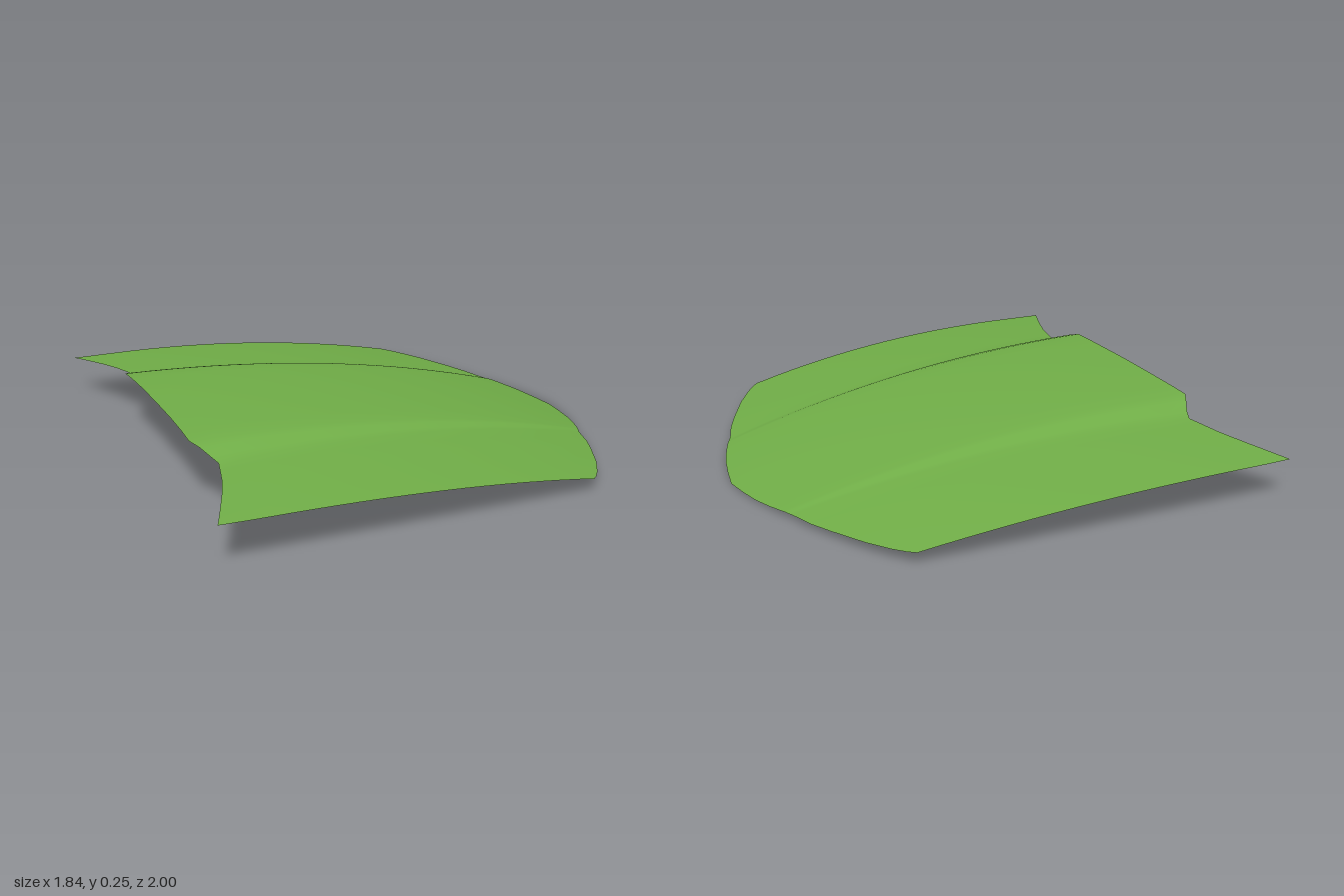
import * as THREE from 'three';

// Lengthwise lines of one half: [rear x, rear z, front x, front z, shoulder drop 0..1]
const LINES = [
  [-0.83, 0, 0.92, 0, 0],
  [-0.83, 0.1, 0.905, 0.1, 0],
  [-0.83, 0.2, 0.885, 0.2, 0],
  [-0.832, 0.33, 0.857, 0.29, 0],
  [-0.835, 0.43, 0.83, 0.36, 0.04],
  [-0.81, 0.475, 0.823, 0.373, 0.3],
  [-0.785, 0.52, 0.818, 0.385, 0.76],
  [-0.77, 0.56, 0.81, 0.4, 1],
  [-0.785, 0.62, 0.775, 0.51, 1],
  [-0.805, 0.7, 0.735, 0.6, 1],
  [-0.84, 0.8, 0.66, 0.75, 1],
  [-0.88, 0.9, 0.6, 0.845, 1],
  [-0.905, 0.96, 0.565, 0.89, 1],
  [-0.92, 0.995, 0.54, 0.915, 1],
];
const ROWS = 18;

// Height: lengthwise curve, crosswise crown and a raised centre that fades to the front
function height(x, z, drop) {
  const u = x + 0.83;
  const curve = 0.25 - 0.069 * u * u - 0.0072 * u * u * u;
  const crown = (0.047 + 0.004 * x) * z * z;
  const step = Math.min(0.045, 0.003 + 0.042 * (0.85 - x) / 1.65);
  return Math.max(0, curve - crown - step * drop);
}

export function createModel() {
  const mirrored = LINES.slice(1).reverse().map(([a, b, c, d, e]) => [a, -b, c, -d, e]);
  const lines = [...mirrored, ...LINES];
  const pos = [], index = [];
  lines.forEach(([xb, zb, xf, zf, drop], j) => {
    for (let i = 0; i <= ROWS; i++) {
      const t = i / ROWS;
      const x = xb + (xf - xb) * t;
      // outer lines bow outwards along the sides
      const bow = 0.034 * 4 * t * (1 - t) * Math.pow(Math.abs(zb), 4) * Math.sign(zb);
      const z = zb + (zf - zb) * t + bow;
      pos.push(x, height(x, z, drop), z);
      if (i < ROWS && j < lines.length - 1) {
        const a = j * (ROWS + 1) + i, b = a + ROWS + 1;
        index.push(a, b, a + 1, b, b + 1, a + 1);
      }
    }
  });
  const geo = new THREE.BufferGeometry();
  geo.setAttribute('position', new THREE.Float32BufferAttribute(pos, 3));
  geo.setIndex(index);
  geo.computeVertexNormals();

  const panel = new THREE.Mesh(geo, new THREE.MeshStandardMaterial({ color: 0x70ad47, side: THREE.DoubleSide }));
  panel.name = 'hoodPanel';
  const group = new THREE.Group();
  group.name = 'hood';
  group.add(panel);
  return group;
}
